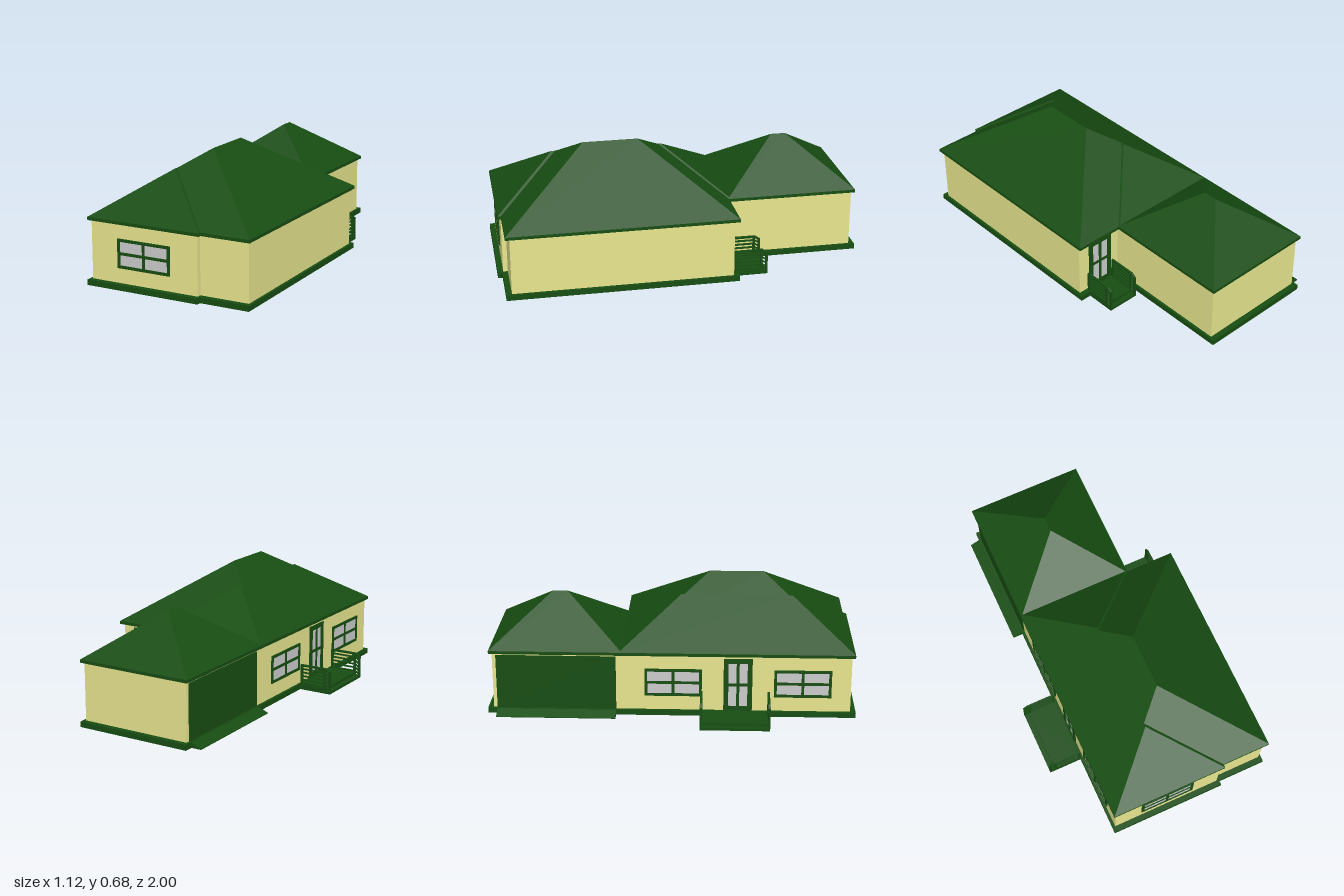
import * as THREE from 'three';

const mat = (color, side = THREE.FrontSide) =>
  new THREE.MeshStandardMaterial({ color, side, flatShading: true });
const green = mat(0x174d12);
const roofGreen = mat(0x174d12, THREE.DoubleSide);
const cream = mat(0xe8e68e);
const glass = mat(0xcccccc);

function add(parent, name, geometry, material) {
  const mesh = new THREE.Mesh(geometry, material);
  mesh.name = name;
  parent.add(mesh);
  return mesh;
}

// Box given by its lower and upper corners
function box(parent, name, [x0, y0, z0], [x1, y1, z1], material) {
  const mesh = add(parent, name, new THREE.BoxGeometry(x1 - x0, y1 - y0, z1 - z0), material);
  mesh.position.set((x0 + x1) / 2, (y0 + y1) / 2, (z0 + z1) / 2);
  return mesh;
}

// House outline pulled in by dx and dz
function outline(dx, dz) {
  return [
    [-0.373 + dx, 1 - dz], [0.285 - dx, 1 - dz], [0.285 - dx, 0.975 - dz], [0.56 - dx, 0.975 - dz],
    [0.56 - dx, -0.275 + dz], [0.285 - dx, -0.275 + dz], [0.285 - dx, -1 + dz], [-0.373 + dx, -1 + dz],
  ].map(([x, z]) => new THREE.Vector2(x, -z));
}

// Upright band following the outline, open in the middle
function band(parent, name, outer, inner, y0, y1, material) {
  const shape = new THREE.Shape(outer);
  shape.holes.push(new THREE.Path(inner));
  const geometry = new THREE.ExtrudeGeometry(shape, { depth: y1 - y0, bevelEnabled: false });
  geometry.rotateX(-Math.PI / 2).translate(0, y0, 0);
  return add(parent, name, geometry, material);
}

// Hip roof with its ridge along z and a fascia strip under the eaves
function hipRoof(parent, name, x0, x1, z0, z1, top, r0, r1) {
  const eave = 0.362, low = 0.345, xm = (x0 + x1) / 2;
  const corners = [[x0, z1], [x1, z1], [x1, z0], [x0, z0]];
  const e = corners.map(([x, z]) => [x, eave, z]);
  const f = corners.map(([x, z]) => [x, low, z]);
  const front = [xm, top, r1], back = [xm, top, r0];
  const p = [];
  const quad = (a, b, c, d) => p.push(...a, ...b, ...c, ...a, ...c, ...d);
  p.push(...e[0], ...e[1], ...front, ...e[2], ...e[3], ...back);
  quad(e[1], e[2], back, front);
  quad(e[3], e[0], front, back);
  for (let i = 0; i < 4; i++) quad(f[i], f[(i + 1) % 4], e[(i + 1) % 4], e[i]);
  const geometry = new THREE.BufferGeometry();
  geometry.setAttribute('position', new THREE.Float32BufferAttribute(p, 3));
  geometry.computeVertexNormals();
  return add(parent, name, geometry, roofGreen);
}

// Framed glazing with a cross of bars, built facing +z with its bottom centre at the origin
function glazing(parent, name, w, h, frame, bar) {
  const g = new THREE.Group();
  g.name = name;
  parent.add(g);
  const x = w / 2, d = 0.007;
  box(g, 'pane', [-x + frame, frame, -0.012], [x - frame, h - frame, 0.002], glass);
  for (const s of [-1, 1]) {
    const a = s * x, b = s * (x - frame);
    box(g, 'frameSide', [Math.min(a, b), 0, -0.016], [Math.max(a, b), h, d], green);
  }
  box(g, 'frameBottom', [-x, 0, -0.016], [x, frame, d], green);
  box(g, 'frameTop', [-x, h - frame, -0.016], [x, h, d], green);
  box(g, 'uprightBar', [-bar / 2, frame, 0], [bar / 2, h - frame, d - 0.001], green);
  box(g, 'crossBar', [-x + frame, h / 2 - bar / 2, 0], [x - frame, h / 2 + bar / 2, d - 0.001], green);
  return g;
}

// Porch projecting along +z from the origin: deck, step and two side railings
function porch(parent, name, width, deck, total) {
  const g = new THREE.Group();
  g.name = name;
  parent.add(g);
  const t = 0.012, x = width / 2;
  box(g, 'deck', [-x, 0, 0], [x, 0.03, deck], green);
  box(g, 'step', [-x, 0, deck], [x, 0.015, total], green);
  for (const s of [-1, 1]) {
    const a = s > 0 ? x - t : -x, b = a + t;
    box(g, 'wallPost', [a, 0, 0], [b, 0.145, t], green);
    box(g, 'deckPost', [a, 0, deck - t], [b, 0.145, deck], green);
    box(g, 'stepPost', [a, 0, total - t], [b, 0.128, total], green);
    for (let i = 0; i < 6; i++) {
      const y = 0.036 + i * 0.0208, h = i === 5 ? 0.011 : 0.007;
      box(g, 'rail', [a, y - h / 2, 0], [b, y + h / 2, deck], green);
      // sloping rail over the step
      const run = total - deck, drop = 0.02;
      const slope = add(g, 'stepRail', new THREE.BoxGeometry(t, h, Math.hypot(run, drop)), green);
      slope.position.set((a + b) / 2, y - drop / 2, deck + run / 2 - 0.002);
      slope.rotation.x = Math.atan2(drop, run);
    }
  }
  return g;
}

export function createModel() {
  const house = new THREE.Group();
  house.name = 'house';

  // Base and walls
  band(house, 'base', outline(0, 0), outline(0.024, 0.039), 0, 0.03, green);
  band(house, 'walls', outline(0.015, 0.03), outline(0.025, 0.04), 0.03, 0.356, cream);

  // Roofs
  hipRoof(house, 'mainRoof', -0.373, 0.56, -0.272, 0.968, 0.677, 0.2, 0.5);
  hipRoof(house, 'wingRoof', -0.373, 0.285, -0.285, 0.987, 0.585, 0.045, 0.657);
  hipRoof(house, 'garageRoof', -0.373, 0.285, -0.987, -0.265, 0.598, -0.665, -0.585);

  // Garage floor, door and ramp
  box(house, 'garageFloor', [-0.37, 0, -0.998], [0.283, 0.028, -0.276], green);
  box(house, 'garageDoor', [-0.362, 0.03, -0.95], [-0.34, 0.335, -0.3], green);
  const wedge = new THREE.Shape();
  wedge.moveTo(-0.43, 0).lineTo(-0.37, 0).lineTo(-0.37, 0.03).lineTo(-0.43, 0.004);
  const ramp = add(house, 'garageRamp',
    new THREE.ExtrudeGeometry(wedge, { depth: 0.65, bevelEnabled: false }), green);
  ramp.position.z = -0.95;

  // Windows
  glazing(house, 'frontWindow', 0.31, 0.156, 0.015, 0.015).position.set(-0.045, 0.111, 0.97);
  for (const z of [0.01, 0.71]) {
    const win = glazing(house, 'sideWindow', 0.31, 0.156, 0.015, 0.015);
    win.position.set(-0.358, 0.111, z);
    win.rotation.y = -Math.PI / 2;
  }

  // Doors
  const sideDoor = glazing(house, 'sideDoor', 0.155, 0.3, 0.026, 0.016);
  sideDoor.position.set(-0.358, 0.03, 0.36);
  sideDoor.rotation.y = -Math.PI / 2;
  const backDoor = glazing(house, 'backDoor', 0.155, 0.3, 0.026, 0.016);
  backDoor.position.set(0.4, 0.03, -0.245);
  backDoor.rotation.y = Math.PI;

  // Porches
  const sidePorch = porch(house, 'sidePorch', 0.375, 0.158, 0.187);
  sidePorch.position.set(-0.373, 0, 0.345);
  sidePorch.rotation.y = -Math.PI / 2;
  const backPorch = porch(house, 'backPorch', 0.185, 0.158, 0.187);
  backPorch.position.set(0.405, 0, -0.255);
  backPorch.rotation.y = Math.PI;

  return house;
}
